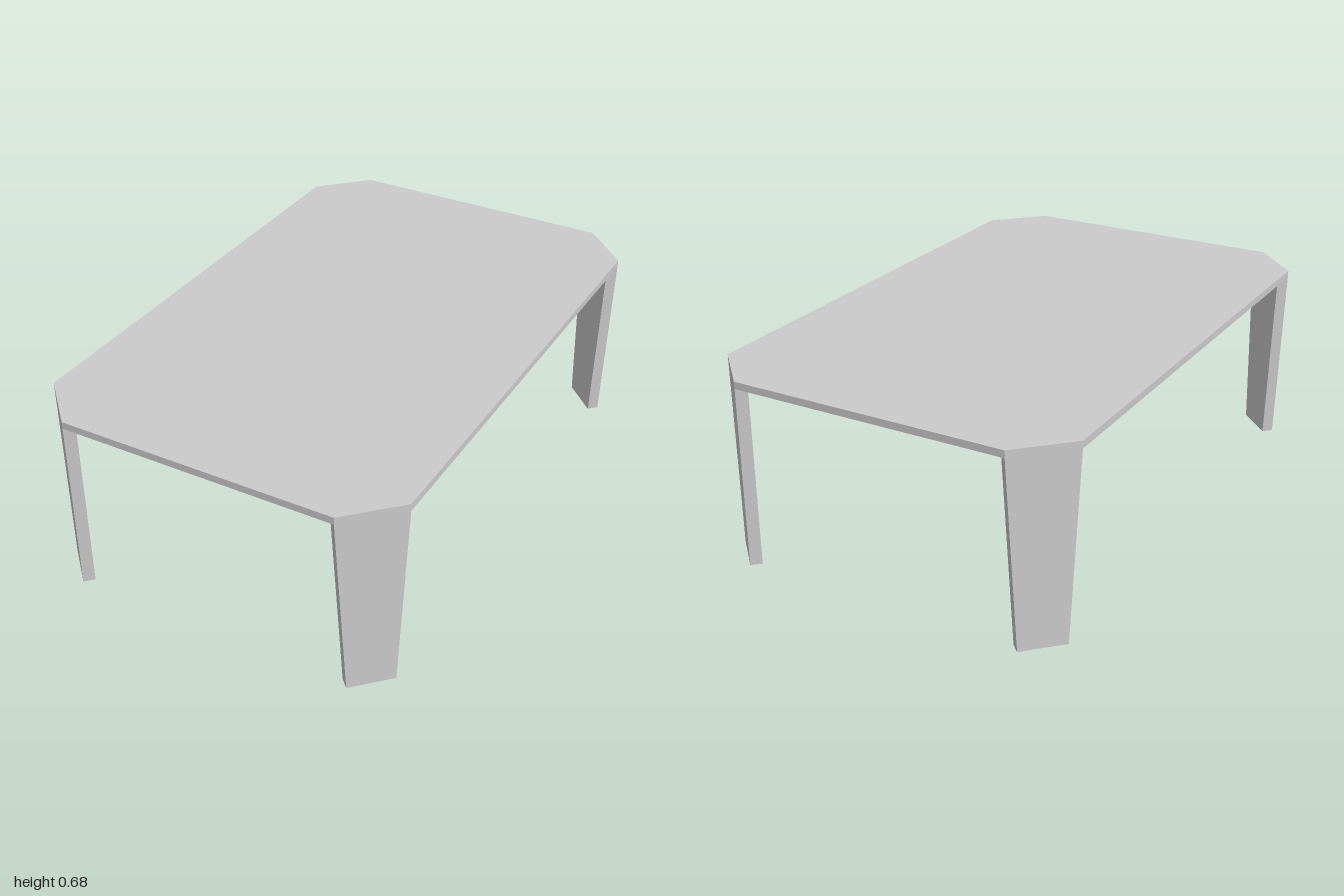
import * as THREE from 'three';

const HALF_X = 0.65, HALF_Z = 1, CUT = 0.163;
const HEIGHT = 0.68, THICK = 0.025, LEG_DEPTH = 0.041;

function extrude(points, depth) {
  const shape = new THREE.Shape(points.map(([x, y]) => new THREE.Vector2(x, y)));
  return new THREE.ExtrudeGeometry(shape, { depth, bevelEnabled: false });
}

export function createModel() {
  const group = new THREE.Group();
  group.name = 'table';
  const material = new THREE.MeshStandardMaterial({ color: 0xcccccc, flatShading: true });

  // Thin tabletop with cut corners
  const x = HALF_X, z = HALF_Z, c = CUT;
  const topGeometry = extrude([
    [x, -z + c], [x, z - c], [x - c, z], [-x + c, z],
    [-x, z - c], [-x, -z + c], [-x + c, -z], [x - c, -z],
  ], THICK);
  topGeometry.rotateX(-Math.PI / 2).translate(0, HEIGHT - THICK, 0);
  const top = new THREE.Mesh(topGeometry, material);
  top.name = 'tabletop';
  group.add(top);

  // Tapered slab legs, outer face flush with each cut corner
  const topHalf = c * Math.SQRT1_2, footHalf = 0.0575 * Math.SQRT2;
  const legTop = HEIGHT - THICK;
  const legGeometry = extrude(
    [[-footHalf, 0], [footHalf, 0], [topHalf, legTop], [-topHalf, legTop]], LEG_DEPTH);
  legGeometry.translate(0, 0, -LEG_DEPTH);
  for (const sx of [-1, 1]) {
    for (const sz of [-1, 1]) {
      const leg = new THREE.Mesh(legGeometry, material);
      leg.name = (sz > 0 ? 'front' : 'back') + (sx > 0 ? 'Left' : 'Right') + 'Leg';
      leg.position.set(sx * (x - c / 2), 0, sz * (z - c / 2));
      leg.rotation.y = Math.atan2(sx, sz);
      group.add(leg);
    }
  }
  return group;
}
